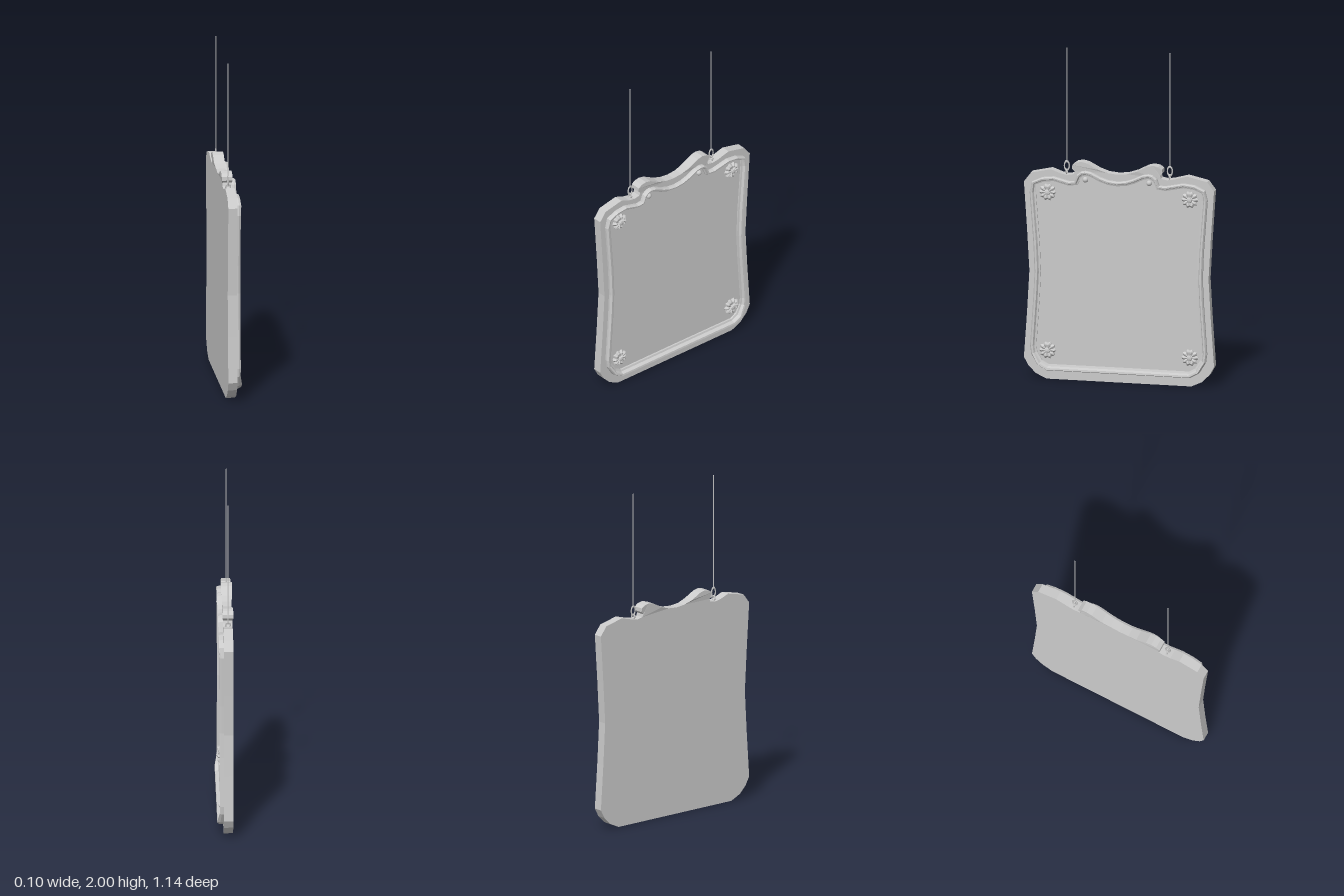
import * as THREE from 'three';

const SHIFT = -0.01; // the crest sits slightly off centre

// Mirrors a half outline (bottom centre to top centre) into a closed counter-clockwise loop
function mirrorLoop(half) {
  const left = half.filter(p => p[0] > 0).reverse().map(([u, y]) => [-u, y]);
  return [...half, ...left].map(([u, y]) =>
    new THREE.Vector2(u + (Math.abs(u) < 0.36 && y > 1 ? SHIFT : 0), y));
}

const boardHalf = [
  [0, 0], [0.435, 0], [0.5, 0.03], [0.545, 0.075], [0.572, 0.125], [0.553, 0.4], [0.539, 0.65],
  [0.553, 0.9], [0.572, 1.185], [0.53, 1.24], [0.41, 1.267], [0.34, 1.245], [0.3, 1.238],
  [0.262, 1.245], [0.256, 1.262], [0.272, 1.278], [0.27, 1.3], [0.248, 1.316], [0.215, 1.322],
  [0.18, 1.314], [0.115, 1.28], [0.06, 1.262], [0, 1.256],
];
const mouldingHalf = [
  [0, 0.055], [0.43, 0.055], [0.485, 0.085], [0.525, 0.15], [0.532, 0.2], [0.512, 0.5],
  [0.505, 0.65], [0.512, 0.82], [0.535, 1.13], [0.52, 1.19], [0.46, 1.218], [0.39, 1.226],
  [0.29, 1.203], [0.255, 1.205], [0.24, 1.245], [0.215, 1.265], [0.19, 1.27], [0.155, 1.264],
  [0.095, 1.235], [0.05, 1.22], [0, 1.215],
];

// Raised moulding: a cross-section carried around the loop
function mouldingGeometry() {
  const loop = mirrorLoop(mouldingHalf);
  const n = loop.length;
  const section = [[0, 0], [0, 0.55], [0.2, 1], [0.5, 0.95], [0.7, 0.4], [1, 0.3], [1, 0]];
  const positions = [], index = [];
  loop.forEach((p, i) => {
    const t = loop[(i + 1) % n].clone().sub(p).normalize()
      .add(p.clone().sub(loop[(i + n - 1) % n]).normalize()).normalize();
    const height = p.y < 0.1 ? 0.038 : p.y > 1.15 ? 0.029 : 0.025;
    const width = p.y > 1.15 ? 0.028 : 0.036;
    for (const [w, h] of section)
      positions.push(p.x - t.y * w * width, p.y + t.x * w * width, 0.009 + h * height);
  });
  const m = section.length;
  for (let i = 0; i < n; i++) for (let j = 0; j < m - 1; j++) {
    const a = i * m + j, b = ((i + 1) % n) * m + j;
    index.push(a, b, b + 1, a, b + 1, a + 1);
  }
  const geo = new THREE.BufferGeometry();
  geo.setAttribute('position', new THREE.Float32BufferAttribute(positions, 3));
  geo.setIndex(index);
  geo.computeVertexNormals();
  return geo;
}

// Ten-petalled flower: a lathe whose rim is pulled in between petals
function rosetteGeometry() {
  const profile = [[0.05, 0], [0.05, 0.009], [0.037, 0.022], [0.018, 0.018], [0.013, 0.027], [0, 0.03]]
    .map(([r, h]) => new THREE.Vector2(r, h));
  const geo = new THREE.LatheGeometry(profile, 40);
  const pos = geo.attributes.position;
  for (let i = 0; i < pos.count; i++) {
    const x = pos.getX(i), z = pos.getZ(i), r = Math.hypot(x, z);
    if (r < 0.016) continue;
    const lobe = Math.cos(Math.atan2(z, x) * 10);
    const k = 1 + 0.09 * lobe - 0.05;
    pos.setXYZ(i, x * k, pos.getY(i) * (0.85 + 0.15 * lobe), z * k);
  }
  geo.rotateX(Math.PI / 2);
  geo.computeVertexNormals();
  return geo;
}

export function createModel() {
  const model = new THREE.Group();
  model.name = 'hangingSign';
  const sign = new THREE.Group(); // drawn facing +z, then turned to face +x
  sign.name = 'sign';
  sign.rotation.y = Math.PI / 2;
  model.add(sign);

  const flat = new THREE.MeshStandardMaterial({ color: 0xcccccc, flatShading: true });
  const thin = new THREE.MeshStandardMaterial({ color: 0xcccccc, flatShading: true, side: THREE.DoubleSide });
  const smooth = new THREE.MeshStandardMaterial({ color: 0xcccccc });
  const add = (name, geo, mat, x, y, z, parent = sign) => {
    const mesh = new THREE.Mesh(geo, mat);
    mesh.name = name;
    mesh.position.set(x, y, z);
    parent.add(mesh);
    return mesh;
  };

  // Board, a little thicker at the crest
  const board = new THREE.ExtrudeGeometry(new THREE.Shape(mirrorLoop(boardHalf)),
    { depth: 0.055, bevelEnabled: false });
  board.translate(0, 0, -0.045);
  const pos = board.attributes.position;
  for (let i = 0; i < pos.count; i++)
    if (pos.getY(i) > 1.27) pos.setZ(i, pos.getZ(i) < 0 ? -0.05 : 0.014);
  board.computeVertexNormals();
  add('board', board, flat, 0, 0, 0);

  add('frameMoulding', mouldingGeometry(), thin, 0, 0, 0);

  // Corner rosettes and the two studs under the crest
  const rosette = rosetteGeometry();
  const stud = new THREE.SphereGeometry(0.017, 12, 8);
  for (const side of [-1, 1]) {
    for (const y of [0.175, 1.13]) add('rosette', rosette, flat, side * 0.428, y, 0.009);
    add('stud', stud, smooth, side * 0.192 + SHIFT, 1.215, 0.01);
  }

  // Hanging hardware: eye in the board, chain link, long wire
  const eye = new THREE.TorusGeometry(0.014, 0.004, 6, 14);
  const link = new THREE.TorusGeometry(0.015, 0.004, 6, 16);
  link.scale(1, 1.8, 1);
  const wire = new THREE.CylinderGeometry(0.003, 0.003, 0.685, 6);
  for (const side of [-1, 1]) {
    const hanger = new THREE.Group();
    hanger.name = 'hanger';
    hanger.position.set(side * 0.31 + SHIFT, 0, -0.018);
    sign.add(hanger);
    add('eye', eye, smooth, 0, 1.253, 0, hanger).rotation.y = Math.PI / 2;
    add('chainLink', link, smooth, 0, 1.287, 0, hanger);
    add('wire', wire, smooth, 0, 1.6575, 0, hanger);
  }
  return model;
}
